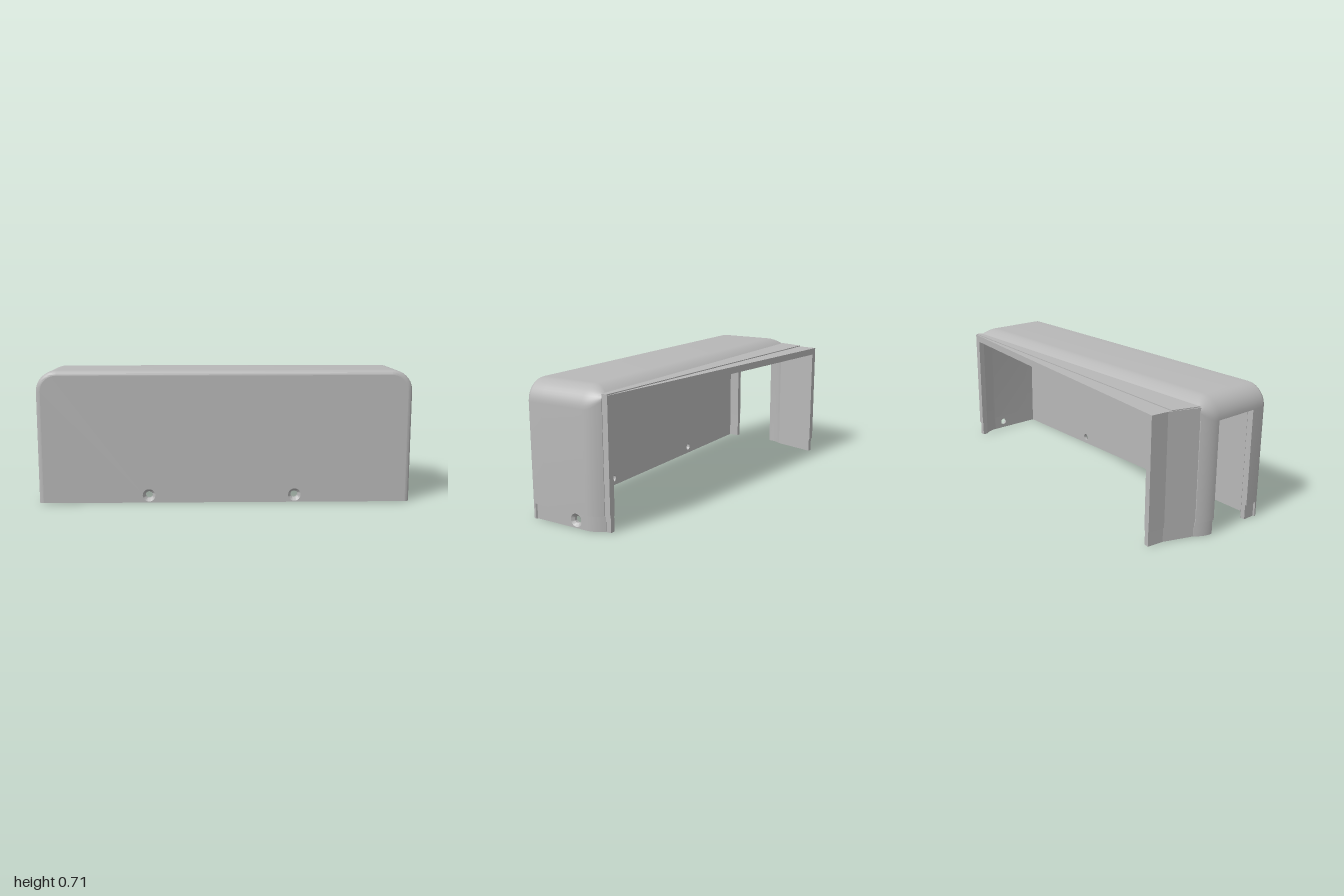
import * as THREE from 'three';
import { toCreasedNormals } from 'three/addons/utils/BufferGeometryUtils.js';

const TOP = 0.712, LIP = 0.08, WALL = 0.035;
const grey = new THREE.MeshStandardMaterial({ color: 0xb8b8b8, side: THREE.DoubleSide });
grey.name = 'plain grey';

export function createModel() {
  const group = new THREE.Group();
  const add = (name, geometry, x = 0, y = 0, z = 0) => {
    const mesh = new THREE.Mesh(geometry, grey);
    mesh.name = name;
    mesh.position.set(x, y, z);
    group.add(mesh);
  };
  const box = (name, x0, x1, y0, y1, z0, z1) => add(name,
    new THREE.BoxGeometry(x1 - x0, y1 - y0, z1 - z0), (x0 + x1) / 2, (y0 + y1) / 2, (z0 + z1) / 2);
  // horizontal slab from a plan outline of [x, z] points
  const slab = (name, plan, y0, y1) => {
    const shape = new THREE.Shape(plan.map(([x, z]) => new THREE.Vector2(x, -z)));
    add(name, new THREE.ExtrudeGeometry(shape, { depth: y1 - y0, bevelEnabled: false }).rotateX(-Math.PI / 2), 0, y0);
  };
  const circle = (x, y, r) => new THREE.Path().absarc(x, y, r, 0, Math.PI * 2, true);
  const lathe = (pts) => toCreasedNormals(
    new THREE.LatheGeometry(pts.map((p) => new THREE.Vector2(...p)), 32), 0.5);

  // arch cross-section, from the foot of the left wall over the roof to the right wall
  const arch = (inset, r, recess) => {
    const X = 1 - inset, Y = TOP - inset;
    const half = [[X - recess, 0], [X - recess, LIP], [X, LIP]];
    for (let k = 0; k <= 10; k++) {
      const a = (k / 10) * Math.PI / 2;
      half.push([X - r + r * Math.cos(a), Y - r + r * Math.sin(a)]);
    }
    return half.concat(half.map(([x, y]) => [-x, y]).reverse());
  };

  // rings along z: [z, inset, corner radius, foot recess]
  const rings = [];
  for (let k = 0; k <= 6; k++) {
    const a = (k / 6) * Math.PI / 2, o = 0.025 * (1 - Math.sin(a));
    rings.push([0.32 + 0.025 * Math.cos(a), o, 0.11 - o, 0]);
  }
  rings.push([0.315, 0, 0.11, 0.008], [0.25, 0, 0.11, 0.008], [0, 0, 0.11, 0.008]);
  for (let k = 1; k <= 8; k++) {
    const t = k / 8;
    rings.push([-0.092 * t, 0.035 * t * t, 0.11 - 0.08 * t * t, 0.008]);
  }
  const n = rings.length;
  const outer = rings.map(([z, o, r, c]) => arch(o, r, c).map(([x, y]) => [x, y, z]));
  const inner = rings.map(([z, o, r]) => {
    const i = z > 0.3 ? 0 : o;
    return arch(i + WALL, Math.max(0.01, (z > 0.3 ? 0.11 : r) - WALL), 0).map(([x, y]) => [x, y, Math.min(z, 0.31)]);
  });
  const all = outer.concat(inner.reverse());
  const last = all[0].length - 1;
  const pos = [];
  const quad = (a, b, c, d) => pos.push(...a, ...b, ...c, ...a, ...c, ...d);
  const isSlot = (i) => i === 8;
  const isPlate = (i) => i === 7 || i === 8;
  for (let i = 0; i < 2 * n - 1; i++) {
    const pair = i < n ? i : 2 * n - 2 - i;
    for (let j = 0; j < last; j++) {
      if (j >= last - 3 && isSlot(pair)) continue; // side opening
      if (j === 0 && i < n && isPlate(pair)) continue; // foot plate goes here
      if (j === 0 && i >= n && isPlate(pair)) continue;
      quad(all[i][j], all[i + 1][j], all[i + 1][j + 1], all[i][j + 1]);
    }
  }
  // undersides of both walls
  for (let i = 0; i < n - 1; i++) {
    const a = all[i], b = all[i + 1], c = all[2 * n - 2 - i], d = all[2 * n - 1 - i];
    if (!isPlate(i)) quad(a[0], d[0], c[0], b[0]);
    if (!isSlot(i)) quad(a[last], b[last], c[last], d[last]);
  }
  const hood = new THREE.BufferGeometry();
  hood.setAttribute('position', new THREE.Float32BufferAttribute(pos, 3));
  add('hood', toCreasedNormals(hood, 0.5));

  // reveals of the side opening
  box('openingRearReveal', -0.991, -0.966, 0, 0.6, -0.004, 0);
  box('openingFrontReveal', -0.991, -0.966, 0, 0.6, 0.25, 0.254);
  box('openingRearReveal', -0.999, -0.966, LIP, 0.602, -0.004, 0);
  box('openingFrontReveal', -0.999, -0.966, LIP, 0.602, 0.25, 0.254);
  box('openingHeader', -0.999, -0.966, 0.602, 0.606, 0, 0.25);

  // front plate with two countersunk screw holes
  const face = new THREE.Shape(arch(0.025, 0.085, 0).map((p) => new THREE.Vector2(...p)));
  const screwX = [-0.41, 0.375];
  screwX.forEach((x) => face.holes.push(circle(x, 0.04, 0.034)));
  add('frontPlate', new THREE.ExtrudeGeometry(face, { depth: 0.035, bevelEnabled: false, curveSegments: 16 }), 0, 0, 0.31);
  const sink = (d) => lathe([[0.034, 0], [0.019, 0], [0.019, d * 0.5], [0.034, d]]);
  screwX.forEach((x) => add('frontScrewHole', sink(0.035).rotateX(Math.PI / 2), x, 0.04, 0.31));

  // recessed foot plate of the left wall with its screw hole
  const foot = new THREE.Shape([[-0.315, 0], [0, 0], [0, LIP], [-0.315, LIP]].map((p) => new THREE.Vector2(...p)));
  foot.holes.push(circle(-0.064, 0.04, 0.034));
  add('footPlate', new THREE.ExtrudeGeometry(foot, { depth: 0.027, bevelEnabled: false, curveSegments: 16 })
    .rotateY(Math.PI / 2), 0.965);
  add('sideScrewHole', sink(0.027).rotateZ(-Math.PI / 2), 0.965, 0.04, 0.064);

  // mounting bosses behind the front plate
  const boss = [[0.062, 0], [0.048, 0.02], [0.04, 0.12], [0.018, 0.12], [0.018, 0.05], [0, 0.05]];
  for (const s of [-1, 1]) add('boss', lathe(boss).rotateX(-Math.PI / 2), s * 0.68, 0.53, 0.31);

  // slanted rear frame: roof, raised strip and the two end walls
  slab('rearRoof', [[-0.962, -0.09], [-0.905, -0.25], [-0.895, -0.345], [0.962, -0.123], [0.962, -0.09]], 0.637, 0.675);
  slab('rearRoofStrip', [[-0.955, -0.088], [-0.91, -0.231], [0.96, -0.118], [0.96, -0.088]], 0.673, 0.68);
  slab('rearRightWall', [[-0.962, -0.09], [-0.905, -0.25], [-0.895, -0.345], [-0.862, -0.341], [-0.93, -0.09]], LIP, 0.637);
  slab('rearRightFoot', [[-0.955, -0.09], [-0.898, -0.25], [-0.888, -0.34], [-0.862, -0.337], [-0.93, -0.09]], 0, LIP);
  box('rearLeftPost', 0.928, 0.962, LIP, 0.637, -0.123, -0.09);
  box('rearLeftFoot', 0.928, 0.955, 0, LIP, -0.12, -0.09);
  return group;
}
